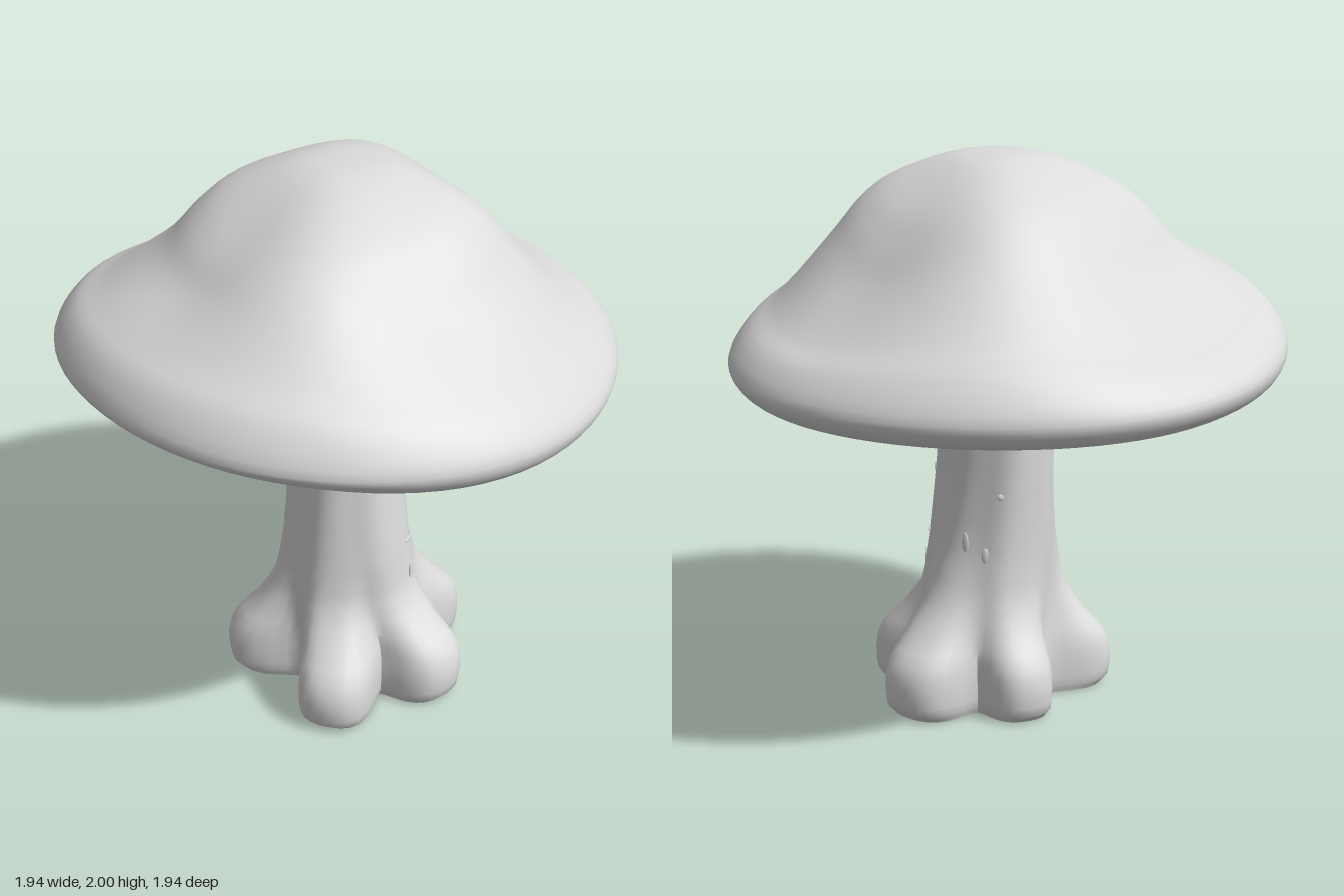
import * as THREE from 'three';
import { toCreasedNormals } from 'three/addons/utils/BufferGeometryUtils.js';

const grey = new THREE.MeshStandardMaterial({ color: 0xdcdcdc });
grey.name = 'paleGrey';

// Skin a list of closed loops, each an array of [x, y, z] of equal length
function skin(loops, name, crease) {
  const n = loops[0].length, index = [];
  for (let i = 0; i < loops.length - 1; i++) {
    for (let j = 0; j < n; j++) {
      const k = (j + 1) % n;
      const a = i * n + j, b = i * n + k, c = a + n, d = b + n;
      index.push(a, c, b, b, c, d);
    }
  }
  const geo = new THREE.BufferGeometry();
  geo.setAttribute('position', new THREE.Float32BufferAttribute(loops.flat(2), 3));
  geo.setIndex(index);
  const mesh = new THREE.Mesh(toCreasedNormals(geo, crease), grey);
  mesh.name = name;
  return mesh;
}

const ring = (n, f) => Array.from({ length: n }, (_, j) => f((j / n) * Math.PI * 2, j));

// Cubic blend between four neighbours
function cubic(a, b, c, d, t) {
  return b + 0.5 * t * (c - a + t * (2 * a - 5 * b + 4 * c - d + t * (3 * (b - c) + d - a)));
}

// Cap profiles every 45 degrees from +x towards +z:
// radius, underside height, rim height, then heights at the fractions in capT
const capT = [0.93, 0.825, 0.62, 0.515, 0.41, 0.206, 0.1];
const capProfiles = [
  [0.970, 1.20, 1.28, 1.38, 1.44, 1.60, 1.72, 1.83, 1.97, 1.995],
  [0.940, 1.22, 1.31, 1.41, 1.49, 1.71, 1.83, 1.905, 1.98, 1.997],
  [0.970, 1.27, 1.37, 1.465, 1.54, 1.68, 1.78, 1.87, 1.97, 1.995],
  [0.975, 1.34, 1.41, 1.54, 1.62, 1.79, 1.85, 1.90, 1.97, 1.995],
  [0.970, 1.34, 1.42, 1.54, 1.60, 1.69, 1.77, 1.84, 1.96, 1.993],
  [0.990, 1.25, 1.36, 1.46, 1.52, 1.67, 1.79, 1.88, 1.97, 1.994],
  [0.970, 1.20, 1.29, 1.37, 1.44, 1.62, 1.75, 1.86, 1.97, 1.995],
  [0.950, 1.19, 1.28, 1.41, 1.51, 1.72, 1.82, 1.89, 1.975, 1.996],
];
function capProfile(angle) {
  const u = (angle / (Math.PI * 2)) * 8, i = Math.floor(u);
  const p = (k) => capProfiles[(i + k + 8) % 8];
  return p(0).map((_, m) => cubic(p(-1)[m], p(0)[m], p(1)[m], p(2)[m], u - i));
}

function makeCap() {
  const columns = ring(80, (angle) => {
    const [R, bottom, tip, ...heights] = capProfile(angle);
    const points = [[0.87, bottom + 0.025], [0.925, bottom], [0.98, bottom + 0.035], [1, tip],
      ...capT.map((t, k) => [t, heights[k]]), [0, 2]];
    const curve = new THREE.CatmullRomCurve3(points.map(([t, y]) => new THREE.Vector3(t * R, y, 0)));
    return curve.getPoints(44).map((p) => [p.x * Math.cos(angle), p.y, p.x * Math.sin(angle)]);
  });
  return skin(columns[0].map((_, i) => columns.map((c) => c[i])), 'cap', 0.9);
}

// Pleated underside rising towards the stem
function makeGills() {
  const loops = [];
  const hub = 1.375;
  for (let i = 0; i <= 14; i++) {
    const t = i / 14;
    loops.push(ring(200, (angle, j) => {
      const [R, bottom] = capProfile(angle);
      const a = angle + 0.03 * Math.sin(t * 9 + 5 * angle);
      const r = THREE.MathUtils.lerp(0.1, 0.885 * R, t);
      const pleat = (j % 2) * (0.028 + 0.012 * Math.sin(j * 2.3)) * Math.min(1, 5 * (1 - t) + 0.1);
      const y = THREE.MathUtils.lerp(hub, bottom + 0.018, 1 - (1 - t) ** 1.4);
      return [r * Math.cos(a), y + pleat, r * Math.sin(a)];
    }));
  }
  return skin(loops, 'gills', 0.35);
}

// Stem sections: height, centre x, centre z, radius x, radius z, root spread
const stemRows = [
  [0, 0, 0.1, 0.24, 0.235, 0.95],
  [0.03, 0, 0.1, 0.255, 0.25, 1.04],
  [0.12, 0, 0.1, 0.26, 0.255, 1.06],
  [0.2, 0, 0.1, 0.258, 0.25, 0.95],
  [0.28, -0.01, 0.1, 0.252, 0.24, 0.58],
  [0.4, -0.025, 0.09, 0.238, 0.225, 0.2],
  [0.6, -0.035, 0.085, 0.213, 0.23, 0.05],
  [0.9, -0.03, 0.06, 0.193, 0.22, 0.01],
  [1.2, -0.02, 0.035, 0.192, 0.205, 0],
  [1.45, -0.02, 0.03, 0.192, 0.2, 0],
];
// Root lobes: direction in degrees, reach, angular width
const roots = [[-6, 0.165, 0.48], [70, 0.16, 0.45], [136, 0.205, 0.42], [210, 0.205, 0.39], [284, 0.13, 0.4]];

function stemPoint(row, angle) {
  const [y, cx, cz, rx, rz, spread] = row;
  let lobe = 0;
  for (const [deg, reach, width] of roots) {
    const d = angle - THREE.MathUtils.degToRad(deg) - 0.25 * Math.max(0, y - 0.2);
    const w = Math.atan2(Math.sin(d), Math.cos(d)) / width;
    lobe = Math.max(lobe, reach * Math.exp(-(w ** 4) * 0.8 - w * w * 0.25));
  }
  const groove = 0.004 * Math.sin(7 * angle + 3 * y);
  const extra = lobe * spread + groove;
  return [cx + (rx + extra) * Math.cos(angle), y, cz + (rz + extra) * Math.sin(angle)];
}

function stemRow(y) {
  let i = 0;
  while (i < stemRows.length - 2 && stemRows[i + 1][0] < y) i++;
  const t = (y - stemRows[i][0]) / (stemRows[i + 1][0] - stemRows[i][0]);
  const at = (k) => stemRows[THREE.MathUtils.clamp(i + k, 0, stemRows.length - 1)];
  const row = at(0).map((v, m) => cubic(at(-1)[m], v, at(1)[m], at(2)[m], t));
  row[0] = y;
  return row;
}

function makeStem() {
  const heights = [0, 0.015, 0.03, 0.06, 0.09, 0.12, 0.16, 0.2, 0.24, 0.28, 0.34, 0.4, 0.47,
    0.54, 0.6, 0.7, 0.8, 0.9, 1.05, 1.2, 1.32, 1.42];
  const loops = heights.map((y) => ring(80, (angle) => stemPoint(stemRow(y), angle)));
  loops.unshift(ring(80, () => [0, 0, 0.1])); // flat sole
  return skin(loops, 'stem', 0.8);
}

// Small raised scars on the stem: direction in degrees, height, width, length
const scars = [[130, 1.06, 0.012, 0.02], [68, 1.03, 0.012, 0.016], [42, 1.04, 0.01, 0.018],
  [48, 0.84, 0.012, 0.02], [50, 0.6, 0.035, 0.008], [60, 0.47, 0.012, 0.05],
  [-20, 0.62, 0.014, 0.04], [-45, 1.0, 0.01, 0.018], [-50, 0.8, 0.012, 0.012], [-40, 0.58, 0.014, 0.03]];

function makeScars() {
  const group = new THREE.Group();
  group.name = 'stemScars';
  for (const [deg, y, w, l] of scars) {
    const angle = THREE.MathUtils.degToRad(deg);
    const scar = new THREE.Mesh(new THREE.SphereGeometry(1, 8, 6), grey);
    scar.name = 'stemScar';
    scar.scale.set(w, l, 0.005);
    scar.position.set(...stemPoint(stemRow(y), angle));
    scar.rotation.y = Math.PI / 2 - angle;
    group.add(scar);
  }
  return group;
}

export function createModel() {
  const model = new THREE.Group();
  model.name = 'mushroom';
  model.add(makeCap(), makeGills(), makeStem(), makeScars());
  return model;
}
